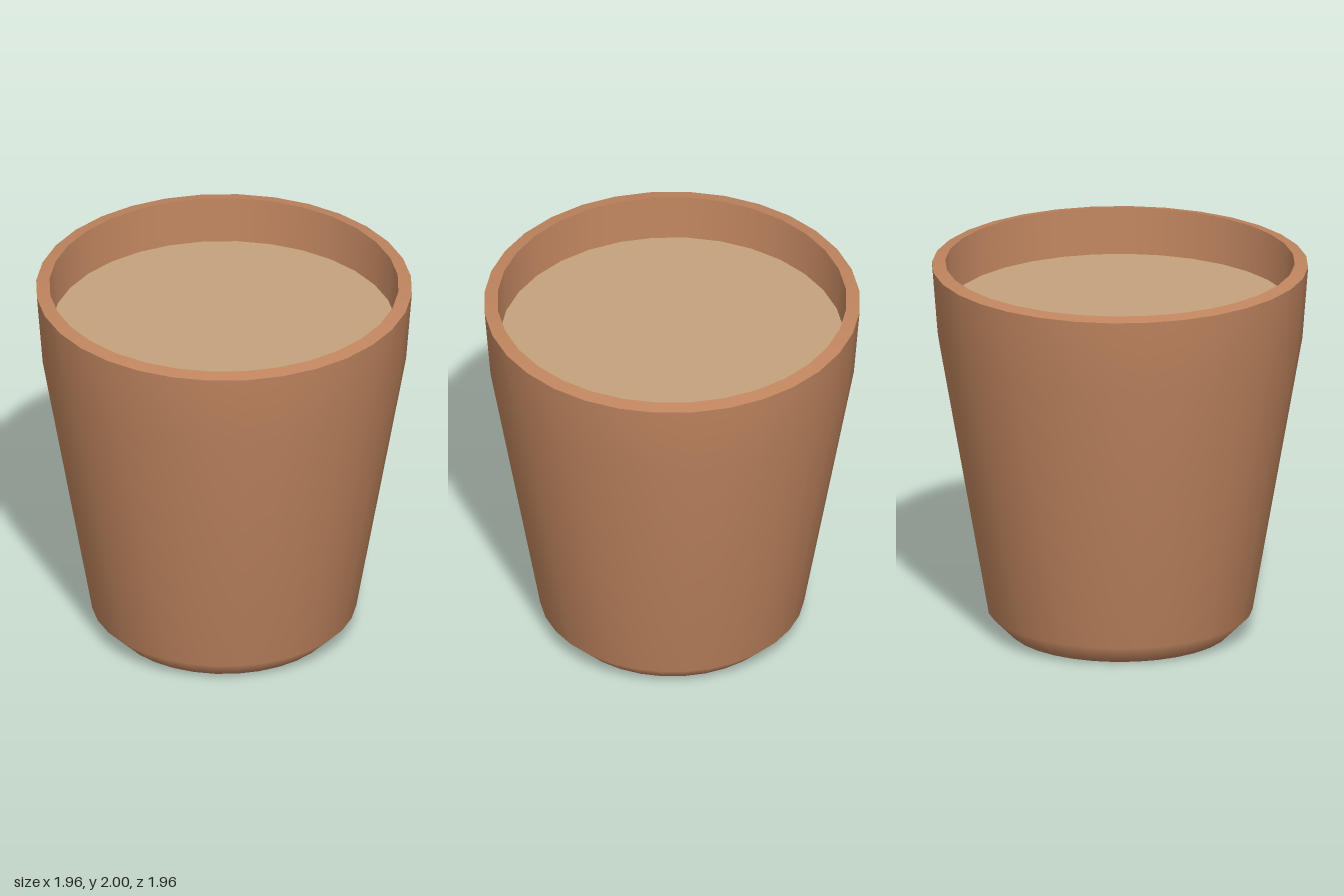
import * as THREE from 'three';

const SIDES = 32;
const SOIL_Y = 1.75;

export function createModel() {
  const clay = new THREE.MeshStandardMaterial({ color: 0xc0855f });
  clay.name = 'terracotta';
  const earth = new THREE.MeshStandardMaterial({ color: 0xc4a27c });
  earth.name = 'soil';

  const group = new THREE.Group();
  group.name = 'flowerPot';

  // Turns a radius/height profile around the y axis
  const turned = (name, material, profile) => {
    const points = profile.map(([r, y]) => new THREE.Vector2(r, y));
    const mesh = new THREE.Mesh(new THREE.LatheGeometry(points, SIDES), material);
    mesh.name = name;
    group.add(mesh);
  };

  // Base, chamfered foot and tapering wall, smooth throughout
  turned('outerWall', clay, [[0, 0], [0.58, 0], [0.69, 0.11], [0.95, 1.6], [0.98, 1.985]]);
  // Rim rises slightly towards the opening
  turned('rim', clay, [[0.98, 1.985], [0.91, 2]]);
  // Inside of the wall, down to the soil
  turned('innerWall', clay, [[0.91, 2], [0.898, SOIL_Y]]);
  // Flat fill
  turned('soil', earth, [[0.898, SOIL_Y], [0, SOIL_Y]]);

  return group;
}
